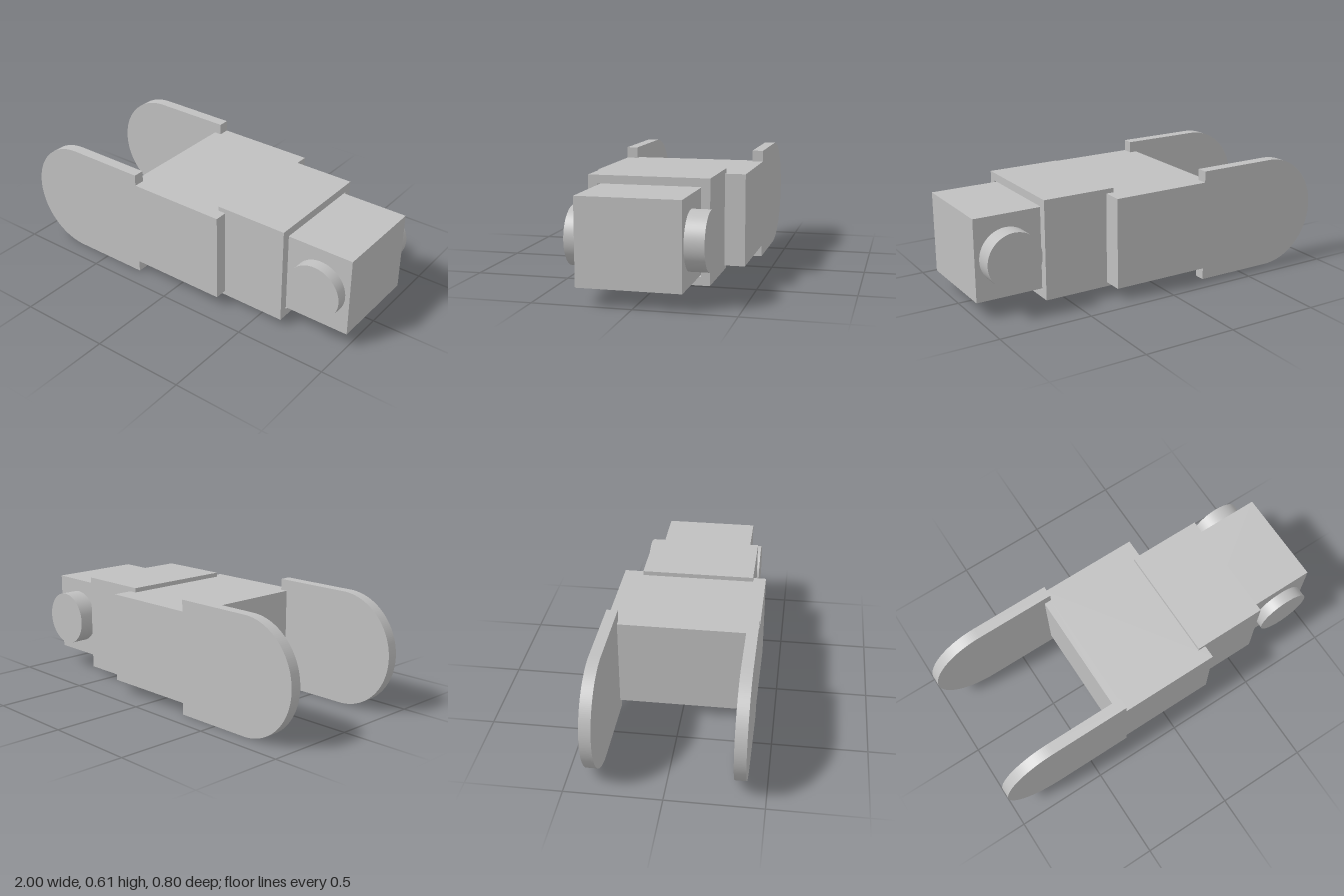
import * as THREE from 'three';

export function createModel() {
  const model = new THREE.Group();
  model.name = 'clevisLink';
  const gray = new THREE.MeshStandardMaterial({ color: 0xc0c0c0 });
  gray.name = 'plain gray';

  const add = (name, geometry, x = 0, y = 0, z = 0) => {
    const mesh = new THREE.Mesh(geometry, gray);
    mesh.name = name;
    mesh.position.set(x, y, z);
    model.add(mesh);
    return mesh;
  };
  const extrude = (shape, depth) =>
    new THREE.ExtrudeGeometry(shape, { depth, bevelEnabled: false, curveSegments: 48 });
  const polygon = (points) => new THREE.Shape(points.map(([x, y]) => new THREE.Vector2(x, y)));
  const rectangle = (x0, x1, y0, y1) => [[x0, y0], [x1, y0], [x1, y1], [x0, y1]];

  const midY = 0.306;

  // Central body, notched at the rear corners where the fork cheeks sit
  const footprint = polygon([
    [0.283, -0.4], [0.283, 0.4], [-0.26, 0.4], [-0.26, 0.34],
    [-0.3, 0.34], [-0.3, -0.34], [-0.26, -0.34], [-0.26, -0.4],
  ]);
  const body = extrude(footprint, 0.486);
  body.rotateX(-Math.PI / 2);
  add('body', body, 0, 0.063, 0);

  // Fork cheeks with a half-round end
  const radius = 0.305;
  const cheek = new THREE.Shape();
  cheek.moveTo(-0.26, 0);
  cheek.lineTo(-0.26, 2 * radius);
  cheek.lineTo(-1 + radius, 2 * radius);
  cheek.absarc(-1 + radius, radius, radius, Math.PI / 2, Math.PI * 1.5, false);
  cheek.closePath();
  const cheekGeometry = extrude(cheek, 0.06);
  add('leftCheek', cheekGeometry, 0, 0, 0.34);
  add('rightCheek', cheekGeometry, 0, 0, -0.4);

  // Open sleeve: frame drawn in (-z, y), then extruded along x
  const frame = polygon(rectangle(-0.33, 0.291, 0.04, 0.573));
  frame.holes.push(new THREE.Path(
    rectangle(-0.284, 0.246, 0.083, 0.53).reverse().map(([x, y]) => new THREE.Vector2(x, y))));
  const sleeve = extrude(frame, 0.4);
  sleeve.rotateY(Math.PI / 2);
  add('sleeve', sleeve, 0.24, 0, 0);

  // Block sliding in the sleeve
  add('endBlock', new THREE.BoxGeometry(0.72, 0.436, 0.518), 0.64, midY, 0.019);

  // Pivot pins on both sides of the block
  for (const [name, z0, z1] of [['leftPin', 0.27, 0.34], ['rightPin', -0.338, -0.23]]) {
    const pin = new THREE.CylinderGeometry(0.148, 0.148, z1 - z0, 64);
    pin.rotateX(Math.PI / 2);
    add(name, pin, 0.827, midY, (z0 + z1) / 2);
  }

  return model;
}
